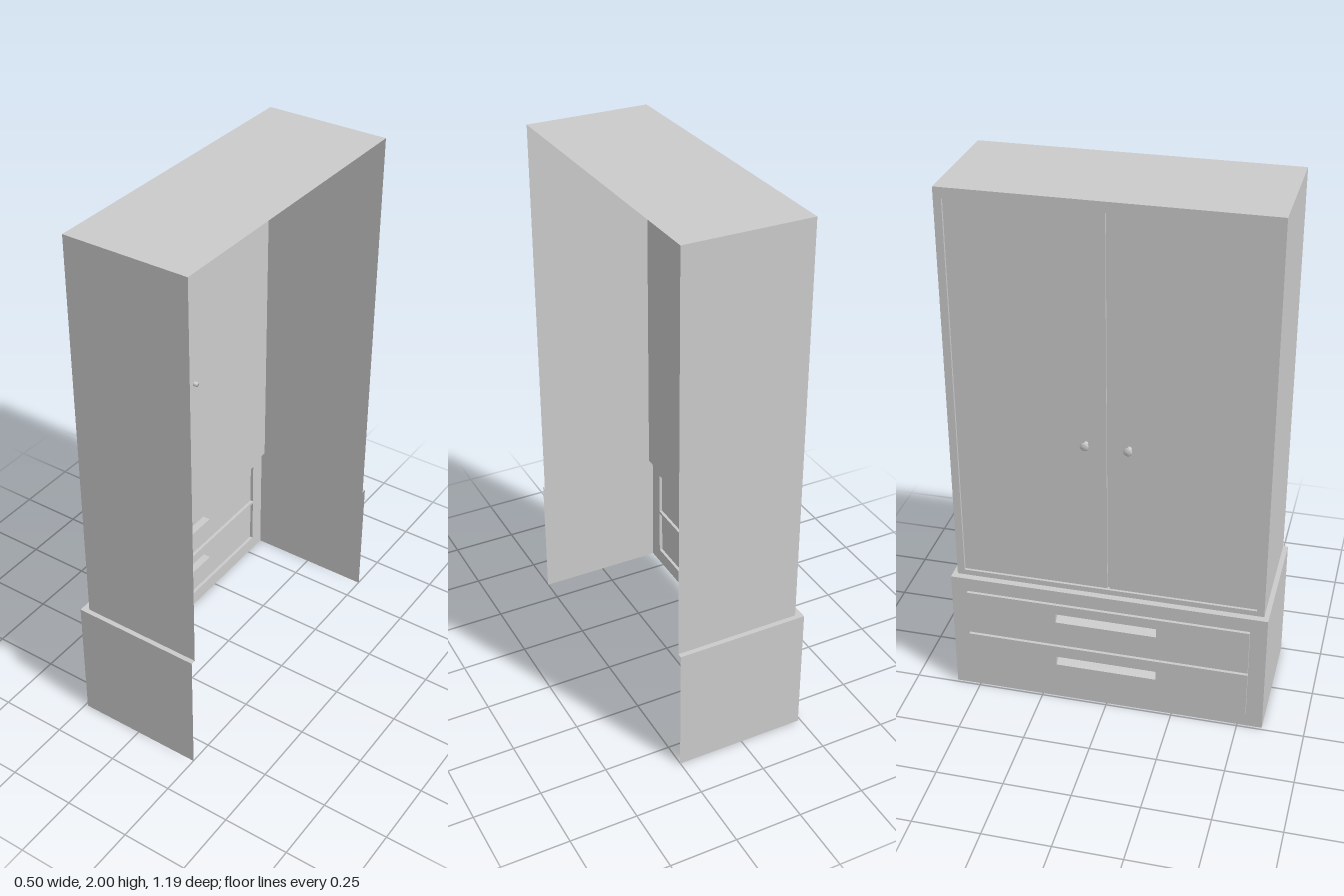
import * as THREE from 'three';

const material = new THREE.MeshStandardMaterial({ color: 0xcccccc, side: THREE.DoubleSide });

// Rectangle in a plane of constant x, counter-clockwise seen from -x
const ring = (x, z0, z1, y0, y1) => [[x, y0, z0], [x, y0, z1], [x, y1, z1], [x, y1, z0]];

function quadMesh(name, quads) {
  const pos = [];
  for (const [a, b, c, d] of quads) pos.push(...a, ...b, ...c, ...a, ...c, ...d);
  const geo = new THREE.BufferGeometry();
  geo.setAttribute('position', new THREE.Float32BufferAttribute(pos, 3));
  geo.computeVertexNormals();
  const mesh = new THREE.Mesh(geo, material);
  mesh.name = name;
  return mesh;
}

// Bands between successive rings, optionally closed by the last one
function loft(rings, cap = false) {
  const quads = [];
  for (let r = 0; r + 1 < rings.length; r++) {
    const [a, b] = [rings[r], rings[r + 1]];
    for (let i = 0; i < 4; i++) {
      const j = (i + 1) % 4;
      quads.push([a[i], a[j], b[j], b[i]]);
    }
  }
  if (cap) quads.push(rings[rings.length - 1]);
  return quads;
}

export function createModel() {
  const group = new THREE.Group();
  const back = 0.251, ledgeY = 0.487;
  const upX = -0.214, upZ = 0.575;      // upper cabinet front and half width
  const baseX = -0.24, baseZ = 0.593;   // base front and half width
  const doorX = -0.204, doorZ = 0.547, doorY0 = 0.508, doorY1 = 1.962, gap = 0.004;

  // Upper cabinet: roof and sides, open at the back and below
  const upBack = ring(back, -upZ, upZ, ledgeY, 2);
  const upFront = ring(upX, -upZ, upZ, ledgeY, 2);
  group.add(quadMesh('upperCabinetShell', loft([upBack, upFront]).slice(1)));

  // Face frame with the recess for the doors
  group.add(quadMesh('doorFrame', loft([
    upFront,
    ring(upX, -doorZ, doorZ, doorY0, doorY1),
    ring(doorX, -doorZ, doorZ, doorY0, doorY1),
  ])));

  // Two doors and the groove between them
  group.add(quadMesh('leftDoor', [ring(doorX, gap, doorZ, doorY0, doorY1)]));
  group.add(quadMesh('rightDoor', [ring(doorX, -doorZ, -gap, doorY0, doorY1)]));
  group.add(quadMesh('doorGap', loft([
    ring(doorX, -gap, gap, doorY0, doorY1),
    ring(doorX + 0.008, -gap, gap, doorY0, doorY1),
  ], true)));

  // Turned knobs that pass through the doors
  const profile = [[0, 0], [0.009, 0], [0.009, 0.022], [0.006, 0.026], [0.006, 0.031],
    [0.015, 0.035], [0.016, 0.039], [0.012, 0.043], [0, 0.044]].map(p => new THREE.Vector2(...p));
  for (const s of [-1, 1]) {
    const knob = new THREE.Mesh(new THREE.LatheGeometry(profile, 16), material);
    knob.name = 'doorKnob';
    knob.rotation.z = Math.PI / 2;
    knob.position.set(-0.19, 1.108, s * 0.077);
    group.add(knob);
  }

  // Base sides
  const baseBack = ring(back, -baseZ, baseZ, 0, ledgeY);
  const baseFront = ring(baseX, -baseZ, baseZ, 0, ledgeY);
  const sides = loft([baseBack, baseFront]);
  group.add(quadMesh('baseSides', [sides[1], sides[3]]));

  // Ledge around the front and sides of the upper cabinet
  const p = (x, z) => [x, ledgeY, z];
  group.add(quadMesh('baseLedge', [
    [p(baseX, -baseZ), p(baseX, baseZ), p(upX, upZ), p(upX, -upZ)],
    [p(baseX, baseZ), p(back, baseZ), p(back, upZ), p(upX, upZ)],
    [p(back, -baseZ), p(baseX, -baseZ), p(upX, -upZ), p(back, -upZ)],
  ]));

  // Drawers: raised fronts with a sloped finger pull, each in its half of the base front
  const drawerX = -0.252, drawerZ = 0.531, pullZ = 0.19;
  const drawers = [
    { name: 'lowerDrawer', area: [0, 0.2485], face: [0.058, 0.243], pull: 0.159 },
    { name: 'upperDrawer', area: [0.2485, ledgeY], face: [0.254, 0.432], pull: 0.355 },
  ];
  for (const { name, area, face, pull } of drawers) {
    const opening = ring(baseX, -drawerZ, drawerZ, ...face);
    const mouth = ring(drawerX, -pullZ, pullZ, pull, pull + 0.037);
    group.add(quadMesh(name + 'Surround', loft([ring(baseX, -baseZ, baseZ, ...area), opening])));
    group.add(quadMesh(name, loft([opening, ring(drawerX, -drawerZ, drawerZ, ...face), mouth])));
    group.add(quadMesh(name + 'Pull', loft([
      mouth,
      ring(drawerX + 0.03, -pullZ, pullZ, pull + 0.016, pull + 0.037),
    ], true)));
  }

  return group;
}
